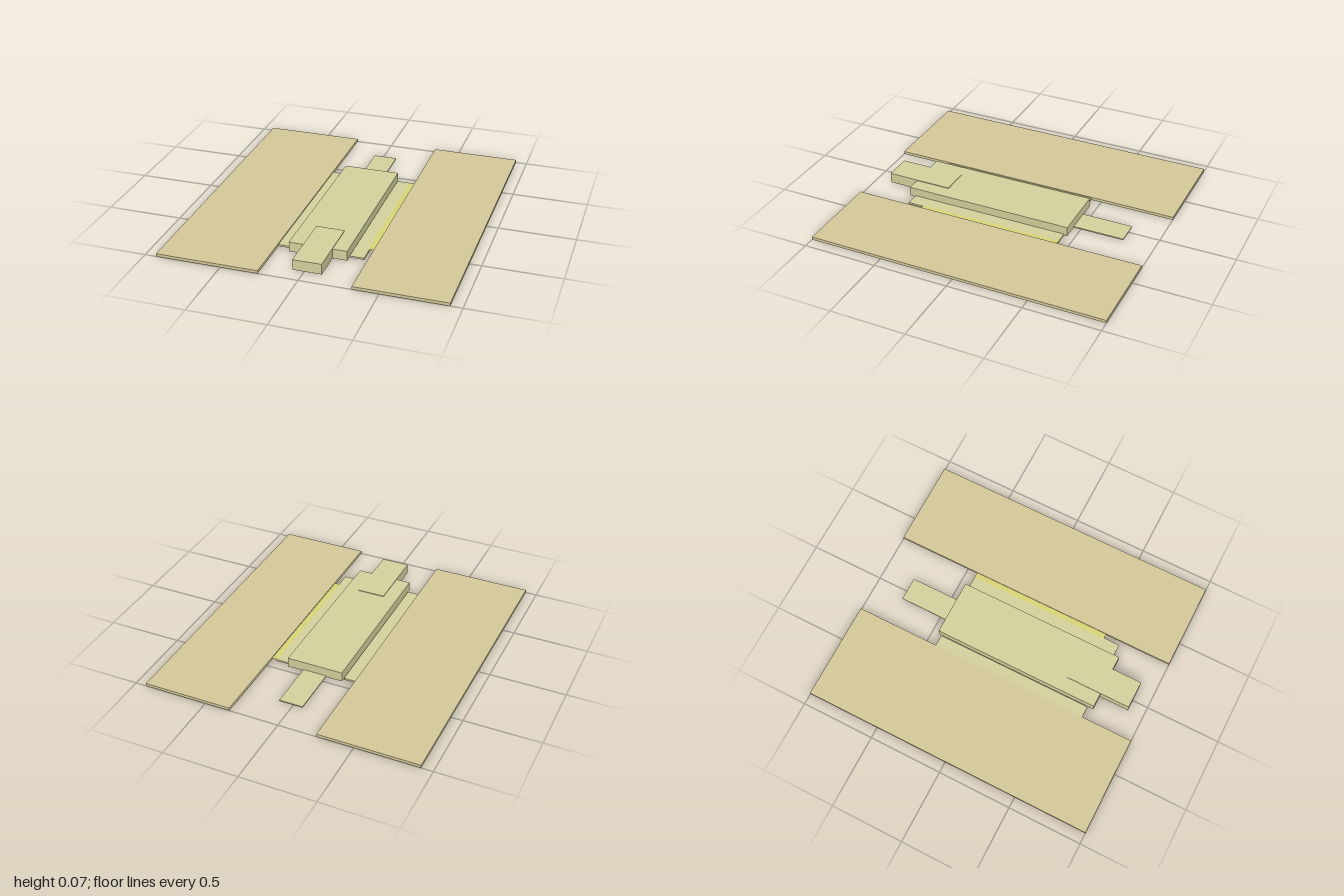
import * as THREE from 'three';

export function createModel() {
  const group = new THREE.Group();
  const paint = (color) => new THREE.MeshStandardMaterial({ color });
  const tan = paint(0xd8cc9c);
  const pale = paint(0xd8d4a0);
  const yellow = paint(0xdcd878);
  yellow.side = THREE.DoubleSide;

  // Box given by its extents, resting on the ground
  function slab(name, material, x0, x1, z0, z1, height) {
    const mesh = new THREE.Mesh(new THREE.BoxGeometry(x1 - x0, height, z1 - z0), material);
    mesh.position.set((x0 + x1) / 2, height / 2, (z0 + z1) / 2);
    mesh.name = name;
    group.add(mesh);
  }

  // Large outer slabs
  slab('rightOuterSlab', tan, -0.925, -0.257, -1, 1, 0.02);
  slab('leftOuterSlab', tan, 0.332, 0.925, -1, 1, 0.02);

  // Raised centre with its front block and low back tongue
  slab('centreBlock', pale, -0.172, 0.206, -0.45, 0.69, 0.065);
  slab('frontBlock', pale, -0.075, 0.112, 0.45, 0.893, 0.07);
  slab('backTongue', pale, -0.063, 0.097, -0.79, -0.45, 0.008);

  // Low strips along both sides of the centre
  slab('rightStrip', pale, -0.257, -0.178, -0.43, 0.65, 0.012);
  slab('leftStrip', pale, 0.209, 0.302, -0.43, 0.65, 0.012);

  // Thin sheet bridging the left strip and the left slab
  const sheet = new THREE.Mesh(new THREE.PlaneGeometry(0.037, 0.97), yellow);
  sheet.rotation.x = -Math.PI / 2;
  sheet.position.set(0.3135, 0.0135, 0.055);
  sheet.name = 'edgeSheet';
  group.add(sheet);

  return group;
}
